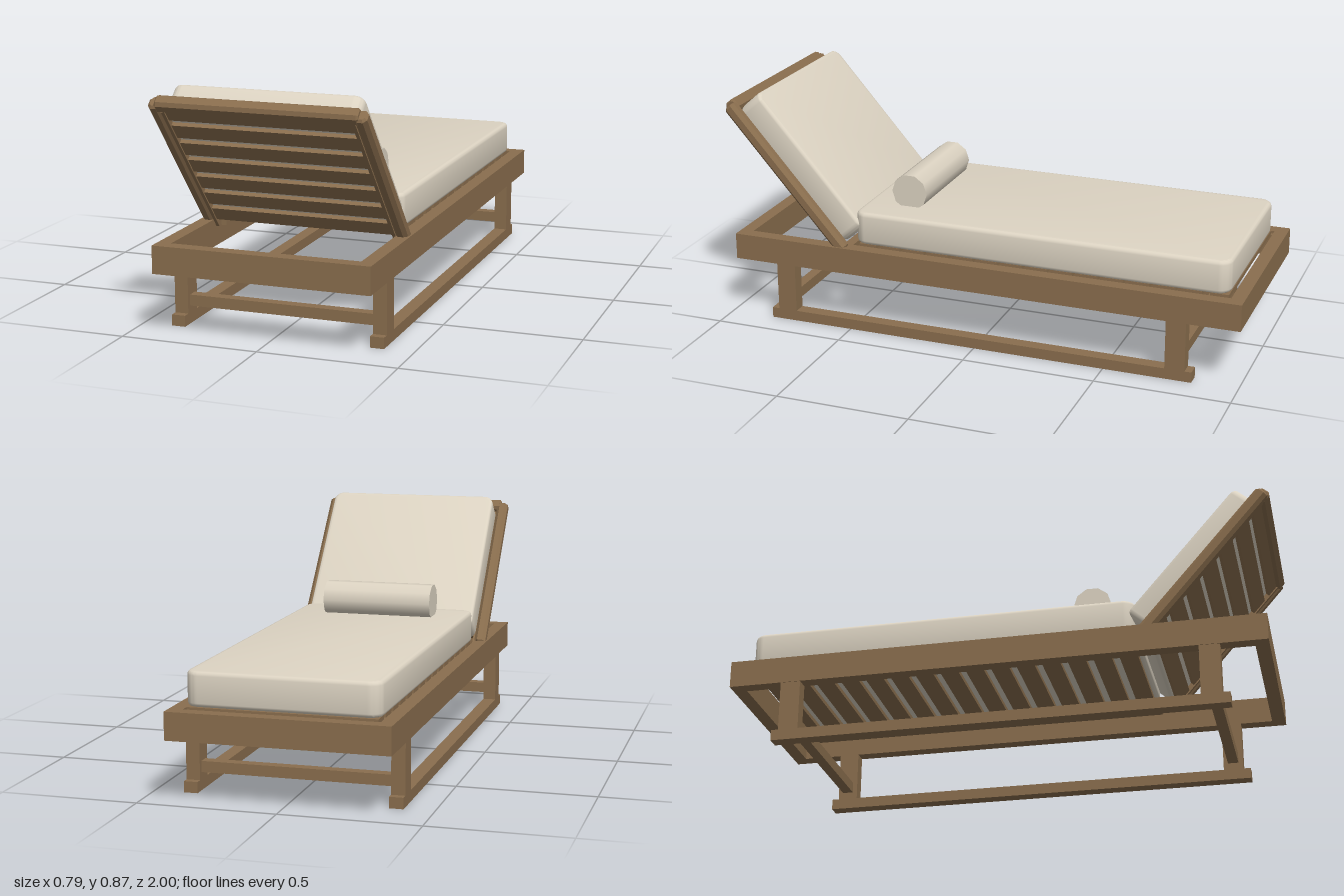
import * as THREE from 'three';
import { toCreasedNormals } from 'three/addons/utils/BufferGeometryUtils.js';

export function createModel() {
  const wood = new THREE.MeshStandardMaterial({ color: 0x8a6e4e });
  wood.name = 'wood';
  const fabric = new THREE.MeshStandardMaterial({ color: 0xdcd3c2 });
  fabric.name = 'cream fabric';

  const add = (parent, name, geometry, material) => {
    const mesh = new THREE.Mesh(geometry, material);
    mesh.name = name;
    parent.add(mesh);
    return mesh;
  };

  // Box given by its minimum and maximum on each axis
  const box = (parent, name, x0, x1, y0, y1, z0, z1) => {
    const mesh = add(parent, name, new THREE.BoxGeometry(x1 - x0, y1 - y0, z1 - z0), wood);
    mesh.position.set((x0 + x1) / 2, (y0 + y1) / 2, (z0 + z1) / 2);
    return mesh;
  };

  // Bar with chamfered long edges and ends, running along its local z from 0
  const chamferedBar = (w, h, length, c, endBevel) => {
    const a = w / 2 - endBevel, b = h / 2 - endBevel;
    const pts = [[a, b - c], [a - c, b], [c - a, b], [-a, b - c], [-a, c - b], [c - a, -b], [a - c, -b], [a, c - b]];
    const geometry = new THREE.ExtrudeGeometry(new THREE.Shape(pts.map(p => new THREE.Vector2(...p))), {
      depth: length - 2 * endBevel, bevelEnabled: true, bevelSegments: 1,
      bevelSize: endBevel, bevelThickness: endBevel,
    });
    return geometry.translate(0, 0, endBevel);
  };

  // Soft slab with rounded corners; thickness runs along z from 0
  const cushion = (w, l, t, r, bevel) => {
    const x = w / 2 - bevel, y = l / 2 - bevel;
    const s = new THREE.Shape();
    s.absarc(x - r, y - r, r, 0, Math.PI / 2);
    s.absarc(r - x, y - r, r, Math.PI / 2, Math.PI);
    s.absarc(r - x, r - y, r, Math.PI, Math.PI * 1.5);
    s.absarc(x - r, r - y, r, Math.PI * 1.5, Math.PI * 2);
    const geometry = new THREE.ExtrudeGeometry(s, {
      depth: t - 2 * bevel, bevelSize: bevel, bevelThickness: bevel, bevelSegments: 3, curveSegments: 5,
    });
    return toCreasedNormals(geometry.translate(0, 0, bevel), 0.7);
  };

  const model = new THREE.Group();
  model.name = 'sunLounger';

  // Base frame
  const base = new THREE.Group();
  base.name = 'baseFrame';
  model.add(base);
  for (const s of [-1, 1]) {
    const side = (name, x0, x1, ...rest) => box(base, name, Math.min(s * x0, s * x1), Math.max(s * x0, s * x1), ...rest);
    side('sideRail', 0.345, 0.395, 0.225, 0.325, -1, 0.97);
    side('slatLedger', 0.325, 0.345, 0.29, 0.315, -0.95, 0.5);
    side('runner', 0.343, 0.393, 0, 0.04, -0.83, 0.828);
    for (const z of [-0.767, 0.763]) side('leg', 0.343, 0.393, 0.04, 0.225, z - 0.037, z + 0.037);
  }
  for (const z of [-0.975, 0.945]) box(base, 'endRail', -0.345, 0.345, 0.225, 0.325, z - 0.025, z + 0.025);
  for (const z of [-0.767, 0.763]) box(base, 'stretcher', -0.343, 0.343, 0.065, 0.105, z - 0.02, z + 0.02);

  // Bed slats
  for (let i = 0; i < 15; i++) {
    const z = -0.905 + i * 0.0965;
    box(base, 'bedSlat', -0.335, 0.335, 0.315, 0.331, z - 0.034, z + 0.034);
  }

  // Mattress
  const mattress = add(model, 'mattress', cushion(0.69, 1.44, 0.124, 0.035, 0.015), fabric);
  mattress.rotation.x = -Math.PI / 2;
  mattress.position.set(0, 0.331, -0.222);

  // Reclined backrest, built upright then tilted about its foot
  const back = new THREE.Group();
  back.name = 'backrest';
  back.position.set(0, 0.31, 0.53);
  back.rotation.x = 0.719;
  model.add(back);
  for (const s of [-1, 1]) {
    const stile = add(back, 'backStile', chamferedBar(0.045, 0.05, 0.685, 0.008, 0.008), wood);
    stile.rotation.x = -Math.PI / 2;
    stile.position.x = s * 0.3655;
    box(back, 'backLedger', s * 0.339 - 0.006, s * 0.339 + 0.006, 0, 0.655, 0, 0.02);
  }
  const topRail = add(back, 'backTopRail', chamferedBar(0.05, 0.05, 0.72, 0.008, 0.006), wood);
  topRail.rotation.y = Math.PI / 2;
  topRail.position.set(-0.36, 0.676, 0);
  for (let i = 0; i < 7; i++) {
    const y = 0.07 + i * 0.095;
    box(back, 'backSlat', -0.334, 0.334, y - 0.0335, Math.min(y + 0.0335, 0.655), 0, 0.015);
  }
  const backCushion = add(back, 'backCushion', cushion(0.685, 0.635, 0.108, 0.025, 0.012), fabric);
  backCushion.position.set(0, 0.338, -0.108);

  // Bolster pillow with ten sides, flat side up
  const bolster = add(model, 'bolster', new THREE.CylinderGeometry(0.07, 0.07, 0.43, 10), fabric);
  bolster.rotation.z = Math.PI / 2;
  bolster.position.set(-0.003, 0.51, 0.325);

  return model;
}
